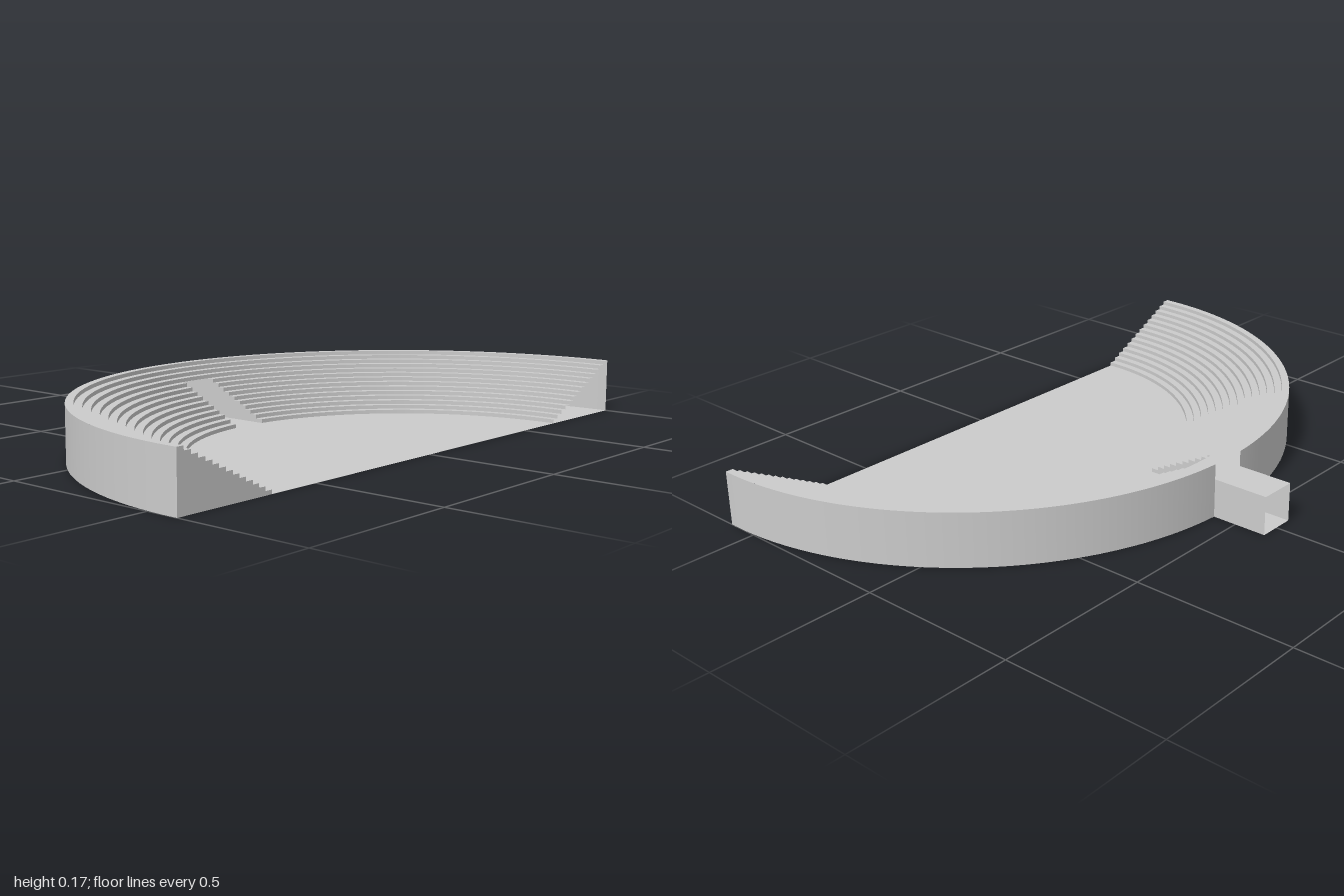
import * as THREE from 'three';
import { ParametricGeometry } from 'three/addons/geometries/ParametricGeometry.js';

const CX = 0.574, EDGE = 0.6;           // arc centre and straight open edge
const INNER = 0.67, OUTER = 1;          // arena floor and outer wall radii
const STEPS = 14, RISE = 0.012, TREAD = (OUTER - INNER) / STEPS;
const HALF = 0.06, ROOF_STEPS = 10;     // tunnel half width, height in steps
const ROOF = ROOF_STEPS * RISE, MOUTH = -0.602;

const material = new THREE.MeshStandardMaterial({ color: 0xcccccc, side: THREE.DoubleSide });

function add(parent, geometry, name) {
  const mesh = new THREE.Mesh(geometry, material);
  mesh.name = name;
  parent.add(mesh);
  return mesh;
}

// Surface swept round the half circle, from (r0, y0) to (r1, y1).
// With a gap it is made in two mirrored halves beside the tunnel.
function band(parent, name, r0, y0, r1, y1, gap) {
  for (const side of [1, -1]) {
    const geometry = new ParametricGeometry((u, v, p) => {
      const r = r0 + (r1 - r0) * v;
      const from = -Math.asin((EDGE - CX) / r);
      const to = Math.PI / 2 - (gap ? Math.asin(HALF / r) : 0);
      const a = from + (to - from) * (side > 0 ? u : 1 - u);
      p.set(CX - r * Math.sin(a), y0 + (y1 - y0) * v, side * r * Math.cos(a));
    }, 48, 1);
    add(parent, geometry, name);
  }
}

// Stair outline: radius is turned into a position along the cut by 'place'
function stairShape(count, place, end) {
  const shape = new THREE.Shape();
  shape.moveTo(place(INNER), 0);
  for (let k = 0; k < count; k++) {
    const r = INNER + k * TREAD;
    shape.lineTo(place(r), (k + 1) * RISE);
    shape.lineTo(place(r + TREAD), (k + 1) * RISE);
  }
  shape.lineTo(end, count * RISE);
  shape.lineTo(end, 0);
  return shape;
}

export function createModel() {
  const model = new THREE.Group();
  model.name = 'halfArena';

  // Half round floor
  const floorShape = new THREE.Shape();
  const start = Math.acos((EDGE - CX) / OUTER);
  floorShape.absarc(CX, 0, OUTER, start, 2 * Math.PI - start, false);
  add(model, new THREE.ShapeGeometry(floorShape, 96).rotateX(Math.PI / 2), 'floor');

  // Terraced seating
  const seating = new THREE.Group();
  seating.name = 'seating';
  model.add(seating);
  for (let k = 0; k < STEPS; k++) {
    const r = INNER + k * TREAD, y = (k + 1) * RISE, gap = k < ROOF_STEPS;
    band(seating, 'riser', r, y - RISE, r, y, gap);
    band(seating, 'tread', r, y, r + TREAD, y, gap);
  }

  // Outer wall, open at the tunnel
  band(model, 'outerWall', OUTER, STEPS * RISE, OUTER, 0, true);

  // Stepped end panel on the front side; the rear end is open
  const alongEdge = r => -Math.sqrt(r * r - (EDGE - CX) ** 2);
  const endShape = stairShape(STEPS, alongEdge, alongEdge(OUTER));
  const end = add(model, new THREE.ShapeGeometry(endShape), 'endPanel');
  end.rotation.y = Math.PI / 2;
  end.position.x = EDGE;

  // Entrance tunnel: side walls follow the steps into the arena
  const tunnel = new THREE.Group();
  tunnel.name = 'entranceTunnel';
  model.add(tunnel);
  const alongTunnel = r => CX - Math.sqrt(r * r - HALF * HALF);
  const sideShape = stairShape(ROOF_STEPS, alongTunnel, MOUTH);
  for (const side of [1, -1]) {
    add(tunnel, new THREE.ShapeGeometry(sideShape), 'tunnelWall').position.z = side * HALF;
  }
  const slab = (name, x1, y) => {
    const plane = new THREE.PlaneGeometry(x1 - MOUTH, 2 * HALF).rotateX(-Math.PI / 2);
    add(tunnel, plane, name).position.set((x1 + MOUTH) / 2, y, 0);
  };
  slab('tunnelRoof', alongTunnel(INNER + ROOF_STEPS * TREAD), ROOF);
  slab('tunnelFloor', CX - OUTER, 0);

  return model;
}
